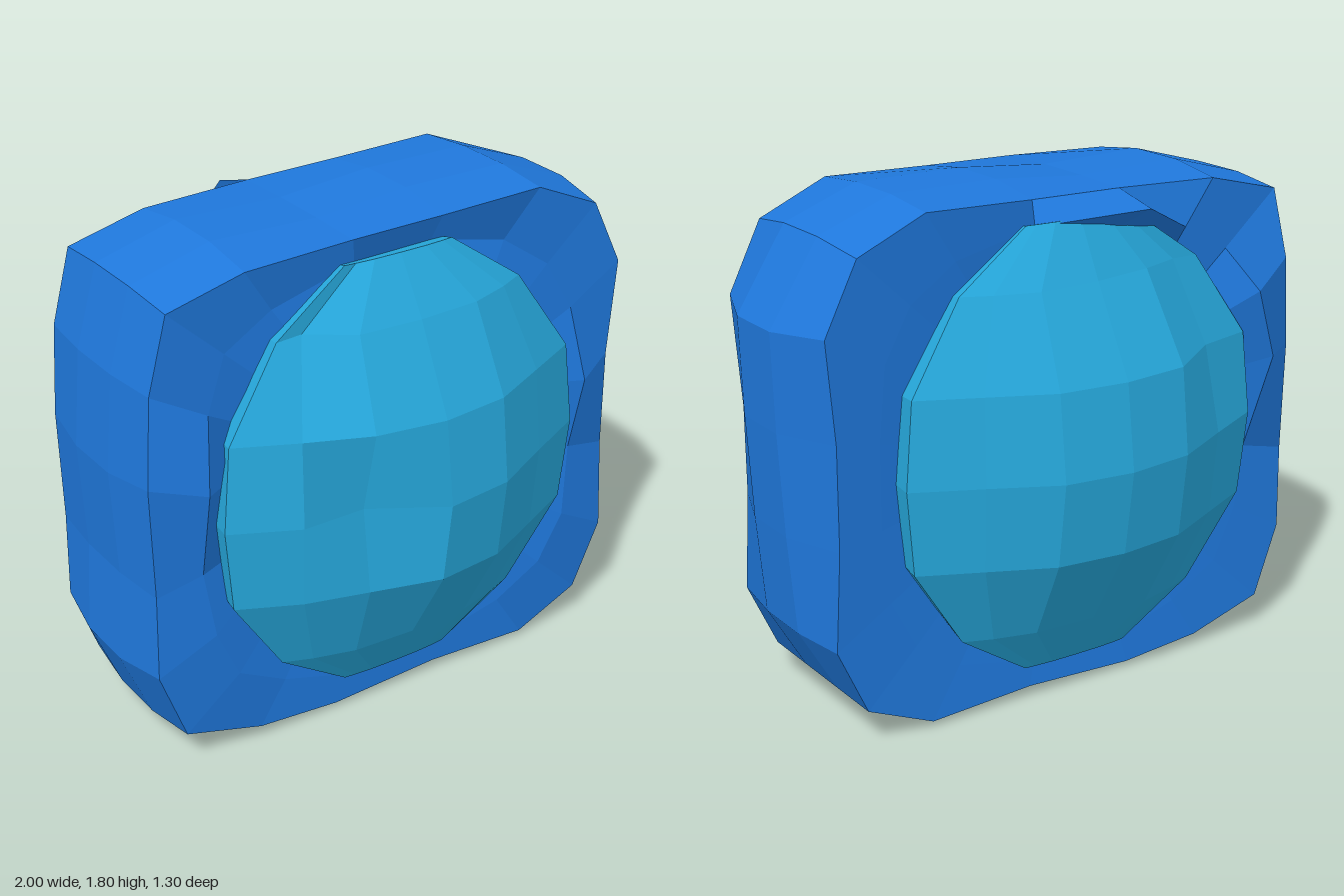
import * as THREE from 'three';

const CX = -0.03, CY = 0.9; // centre of the dome on the slab

// Faceted surface through rows of points, with one flat normal per four-sided facet
function loft(rows, closed, color, name) {
  const pos = [], nor = [], n = rows[0].length;
  for (let r = 0; r < rows.length - 1; r++) {
    for (let i = 0; i < (closed ? n : n - 1); i++) {
      const j = (i + 1) % n;
      const a = rows[r][i], b = rows[r][j], c = rows[r + 1][i], d = rows[r + 1][j];
      const ad = d.clone().sub(a), cb = b.clone().sub(c);
      const normal = ad.clone().cross(cb).normalize();
      // Split along the shorter diagonal
      const corners = ad.length() < cb.length() ? [a, c, d, a, d, b] : [a, c, b, c, d, b];
      for (const p of corners) {
        pos.push(p.x, p.y, p.z);
        nor.push(normal.x, normal.y, normal.z);
      }
    }
  }
  const geo = new THREE.BufferGeometry();
  geo.setAttribute('position', new THREE.Float32BufferAttribute(pos, 3));
  geo.setAttribute('normal', new THREE.Float32BufferAttribute(nor, 3));
  const mesh = new THREE.Mesh(geo, new THREE.MeshStandardMaterial({ color, side: THREE.DoubleSide }));
  mesh.name = name;
  return mesh;
}

// Rough square slab: belt, rims and faces as loops, counter-clockwise from +x
function makeSlab() {
  const belt = [[0.99, 1.08], [1, 1.42], [0.82, 1.7], [0.55, 1.8], [0.15, 1.8], [-0.2, 1.77], [-0.6, 1.78],
    [-0.89, 1.7], [-0.97, 1.42], [-1, 1.08], [-0.98, 0.7], [-1, 0.37], [-0.89, 0.11], [-0.6, 0.03],
    [-0.27, 0.01], [0.15, 0], [0.55, 0.01], [0.8, 0.13], [0.94, 0.37], [0.97, 0.72]];
  const rim = [[0.89, 1.08], [0.92, 1.43], [0.8, 1.67], [0.55, 1.78], [0.15, 1.77], [-0.2, 1.765], [-0.6, 1.75],
    [-0.88, 1.68], [-0.95, 1.42], [-0.97, 1.1], [-0.96, 0.7], [-0.965, 0.39], [-0.87, 0.13], [-0.58, 0.045],
    [-0.27, 0.02], [0.15, 0.04], [0.55, 0.02], [0.8, 0.13], [0.91, 0.37], [0.89, 0.72]];
  // Depth of the uneven faces between the rim and the dome
  const frontDepth = [0.4, 0.33, 0.31, 0.28, 0.28, 0.3, 0.3, 0.31, 0.33, 0.4,
    0.33, 0.35, 0.34, 0.32, 0.32, 0.32, 0.32, 0.34, 0.35, 0.33];
  const backDepth = rim.map(() => 0.31);
  const at = (loop, z) => loop.map(([x, y]) => new THREE.Vector3(x, y, z));
  const inner = rim.map(([x, y]) => {
    const a = Math.atan2((y - CY) / 0.79, (x - CX) / 0.71);
    return [CX + 0.66 * Math.cos(a), CY + 0.73 * Math.sin(a)];
  });
  const face = (s, depth) => rim.map(([x, y], i) => new THREE.Vector3(
    x + (inner[i][0] - x) * 0.6, y + (inner[i][1] - y) * 0.6, s * depth[i]));
  const back = face(-1, backDepth);
  // Splinters on the back face
  back[5].set(-0.22, 1.72, -0.47);
  back[8].set(-0.72, 1.36, -0.45);
  back[9].set(-0.82, 1.1, -0.42);
  return loft([at(inner, 0.31), face(1, frontDepth), at(rim, 0.32), at(belt, 0.11), at(belt, -0.11),
    at(rim, -0.32), back, at(inner, -0.3)], true, 0x1f78dc, 'slab');
}

// Faceted oval dome; chips maps "row,column" to a lowered depth
function makeDome(s, chips, name) {
  const ys = [1.69, 1.5, 1.2, 0.9, 0.6, 0.3, 0.12];
  const crown = [0.34, 0.46, 0.61, 0.65, 0.61, 0.44, 0.34];
  const edge = [0.33, 0.35, 0.38, 0.39, 0.38, 0.35, 0.33];
  // Column offsets from the middle, for the rows from the tip to the equator
  const offsets = [[0, 0.1, 0.17, 0.21], [0, 0.23, 0.38, 0.48], [0, 0.25, 0.47, 0.68], [0, 0.25, 0.48, 0.71]];
  const rise = [1, 0.88, 0.43, 0];
  const rows = [];
  for (let r = -1; r <= 7; r++) {
    const row = [], k = THREE.MathUtils.clamp(r, 0, 6);
    for (let c = -1; c <= 7; c++) {
      const m = THREE.MathUtils.clamp(c, 0, 6), col = Math.abs(m - 3);
      const skirt = k !== r || m !== c; // edge tucked into the slab
      const f = skirt ? 0.97 : 1;
      const z = skirt ? 0.24 : chips[`${r},${c}`] ?? edge[k] + (crown[k] - edge[k]) * rise[col];
      const x = Math.sign(m - 3) * offsets[Math.min(k, 6 - k)][col];
      row.push(new THREE.Vector3(CX + x * f, CY + (ys[k] - CY) * f, s * z));
    }
    rows.push(s > 0 ? row : row.reverse());
  }
  return loft(rows, false, 0x26a8dc, name);
}

export function createModel() {
  const group = new THREE.Group();
  group.name = 'domedSlab';
  group.add(
    makeSlab(),
    makeDome(1, { '2,2': 0.57, '3,2': 0.5, '4,2': 0.54, '1,1': 0.34 }, 'frontDome'),
    makeDome(-1, { '1,2': 0.4, '1,3': 0.44, '1,1': 0.35, '2,1': 0.43 }, 'backDome'),
  );
  return group;
}
